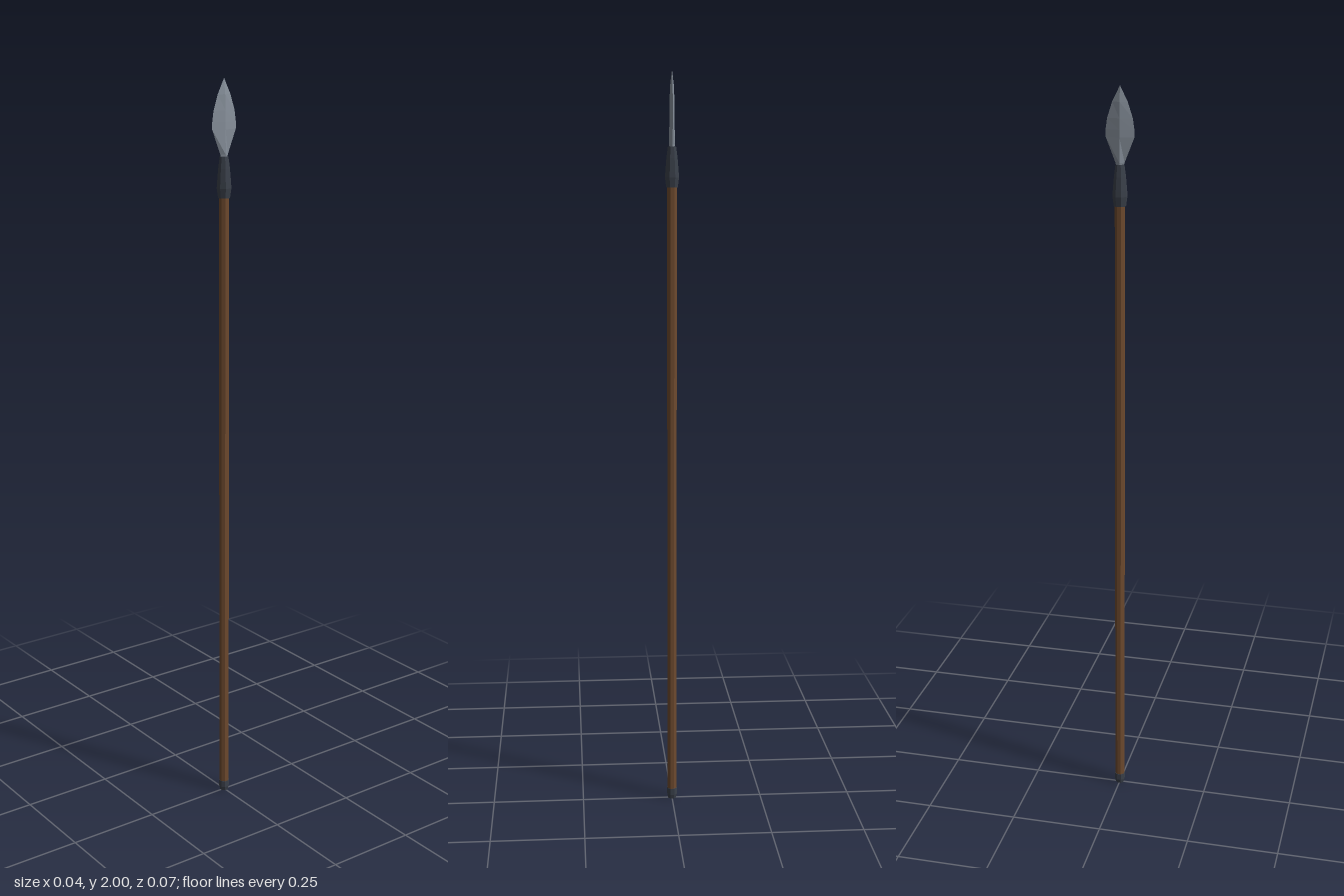
import * as THREE from 'three';

const WOOD = 0x6e4a2e, IRON = 0x3a404a, STEEL = 0x88919c;

// Faceted mesh turned from a bottom-to-top profile of [radius, y]
function turned(name, profile, sides, color, start = 0, reshape) {
  let geo = new THREE.LatheGeometry(profile.map(([r, y]) => new THREE.Vector2(r, y)), sides, start);
  if (reshape) reshape(geo.attributes.position);
  geo = geo.toNonIndexed();
  geo.computeVertexNormals();
  const mesh = new THREE.Mesh(geo, new THREE.MeshStandardMaterial({ color, flatShading: true }));
  mesh.name = name;
  return mesh;
}

export function createModel() {
  const spear = new THREE.Group();
  spear.name = 'spear';
  const flat = Math.PI / 8; // flats of the octagon face the axes

  // Wooden pole
  spear.add(turned('shaft', [[0, 0.02], [0.0135, 0.02], [0.0135, 1.72], [0, 1.72]], 8, WOOD, flat));

  // Iron cap at the foot
  spear.add(turned('buttCap', [[0, 0], [0.0115, 0], [0.0145, 0.012], [0.0145, 0.03], [0, 0.03]], 8, IRON, flat));

  // Iron socket with a swollen collar, narrowing towards the blade
  spear.add(turned('socket', [
    [0, 1.70], [0.016, 1.70], [0.0195, 1.725], [0.0185, 1.74],
    [0.0155, 1.775], [0.0115, 1.805], [0, 1.805],
  ], 8, IRON, flat));

  // Leaf blade: four-sided loops, wide in z and thin in x
  const blade = [
    [0, 1.79], [0.007, 1.79], [0.012, 1.81], [0.037, 1.873], [0.037, 1.892],
    [0.033, 1.92], [0.02, 1.96], [0, 2],
  ];
  const thickness = [0, 0.006, 0.0075, 0.007, 0.007, 0.0065, 0.005, 0];
  spear.add(turned('blade', blade, 4, STEEL, 0, (pos) => {
    for (let i = 0; i < pos.count; i++) {
      const k = i % blade.length;
      if (blade[k][0] > 0) pos.setX(i, pos.getX(i) * thickness[k] / blade[k][0]);
    }
  }));

  return spear;
}
